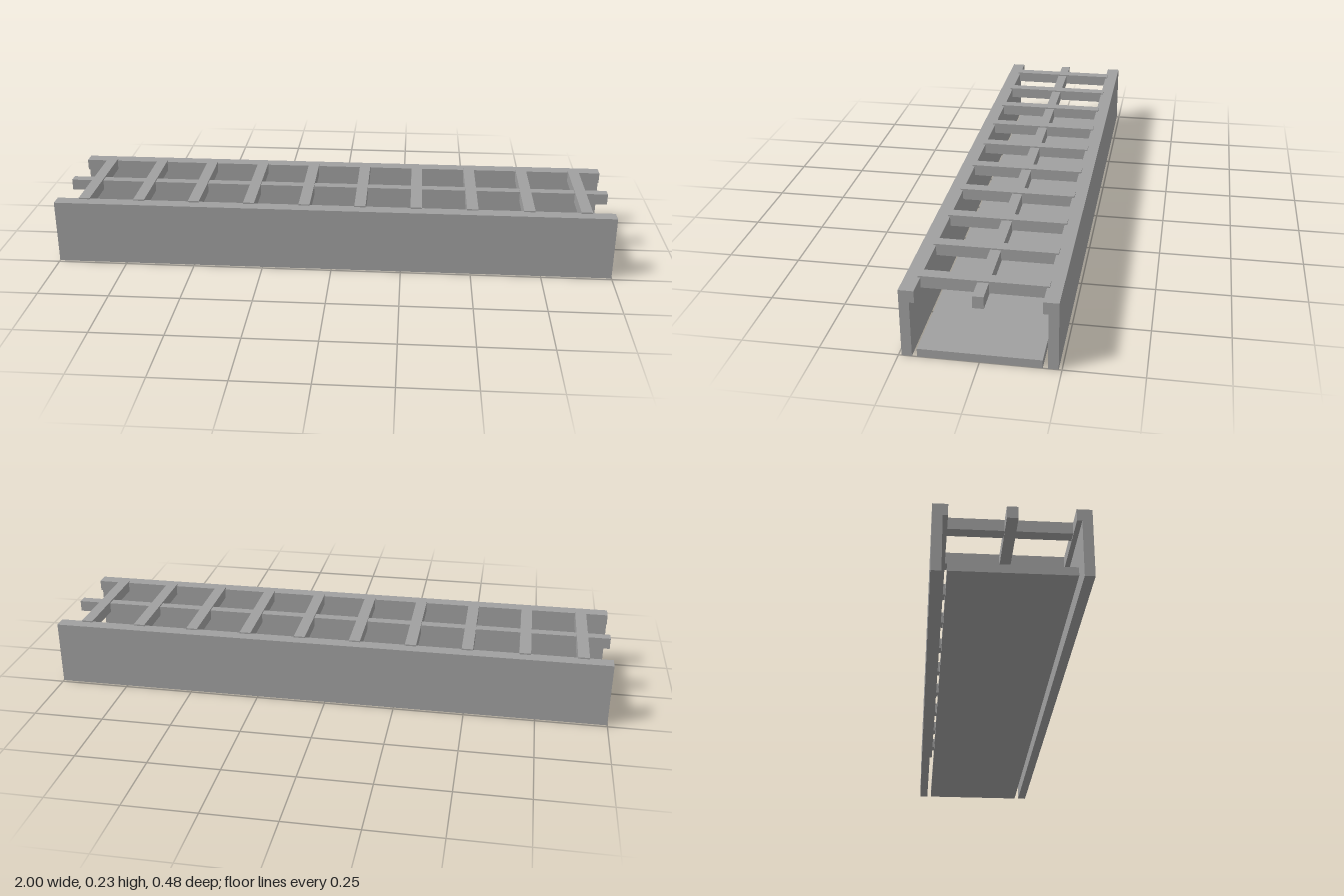
import * as THREE from 'three';

const LENGTH = 2;

export function createModel() {
  const group = new THREE.Group();
  const grey = new THREE.MeshStandardMaterial({ color: 0xa0a0a0 });
  grey.name = 'grey';

  // Box given by its extents, centred on x
  function addBox(name, length, y0, y1, z0, z1, x = 0) {
    const mesh = new THREE.Mesh(new THREE.BoxGeometry(length, y1 - y0, z1 - z0), grey);
    mesh.position.set(x, (y0 + y1) / 2, (z0 + z1) / 2);
    mesh.name = name;
    group.add(mesh);
  }

  // Floor plate and central lengthwise beam
  addBox('floor', LENGTH, 0, 0.028, -0.192, 0.192);
  addBox('centreBeam', LENGTH, 0.19, 0.23, -0.0175, 0.0175);

  // Side walls: L-shaped section with an inward lip, swept along x
  const section = [[0.208, 0], [0.24, 0], [0.24, 0.23], [0.192, 0.23], [0.192, 0.19], [0.208, 0.19]];
  for (const [side, name] of [[1, 'frontWall'], [-1, 'backWall']]) {
    const shape = new THREE.Shape(section.map(([z, y]) => new THREE.Vector2(-side * z, y)));
    const geometry = new THREE.ExtrudeGeometry(shape, { depth: LENGTH, bevelEnabled: false });
    geometry.translate(0, 0, -LENGTH / 2).rotateY(Math.PI / 2);
    const wall = new THREE.Mesh(geometry, grey);
    wall.name = name;
    group.add(wall);
  }

  // Cross bars standing slightly proud of the walls
  for (let i = 0; i < 10; i++) {
    addBox('crossBar' + (i + 1), 0.04, 0.195, 0.235, -0.2, 0.2, -0.9 + i * 0.2);
  }

  return group;
}
